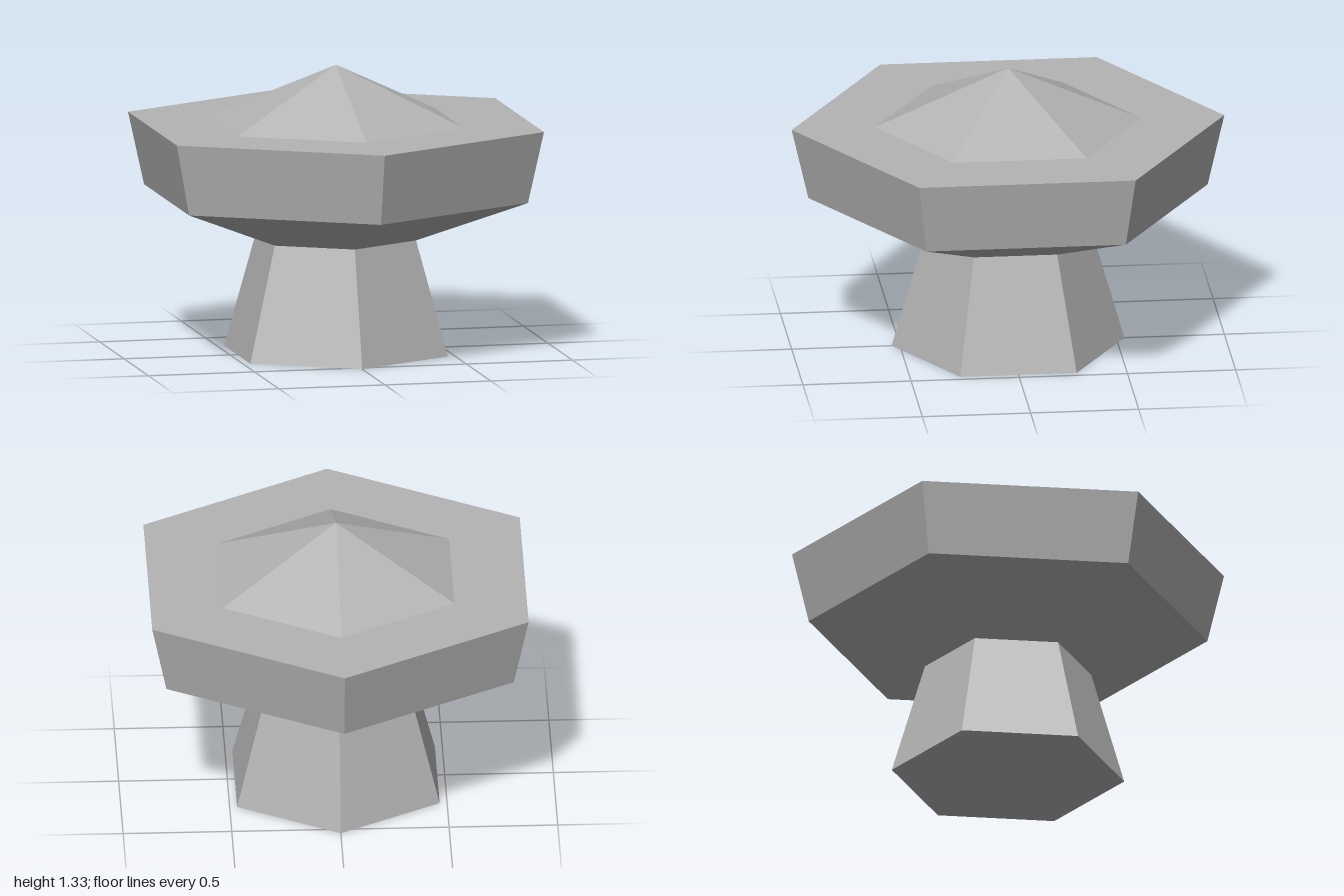
import * as THREE from 'three';

const SIDES = 6;

export function createModel() {
  const group = new THREE.Group();
  const grey = new THREE.MeshStandardMaterial({ color: 0xb3b3b3, flatShading: true });
  grey.name = 'plain grey';

  function add(name, geometry, y) {
    const mesh = new THREE.Mesh(geometry, grey);
    mesh.name = name;
    mesh.position.y = y;
    group.add(mesh);
  }

  // Open six-sided band between two heights, with corners on the z axis
  function band(name, y0, r0, y1, r1) {
    add(name, new THREE.CylinderGeometry(r1, r0, y1 - y0, SIDES, 1, true), (y0 + y1) / 2);
  }

  band('stem', 0, 0.538, 0.533, 0.385);
  band('bowlUnderside', 0.533, 0.385, 0.733, 0.923);
  band('rimWall', 0.733, 0.923, 1.067, 1);

  // Flat hexagonal ledge around the peak
  add('topLedge', new THREE.RingGeometry(0.615, 1, SIDES, 1, Math.PI / 2).rotateX(-Math.PI / 2), 1.067);

  // Low pyramid on top
  add('peak', new THREE.ConeGeometry(0.615, 0.266, SIDES, 1, true), 1.2);

  // Sole of the stem
  add('stemSole', new THREE.CircleGeometry(0.538, SIDES, Math.PI / 2).rotateX(Math.PI / 2), 0);

  return group;
}
